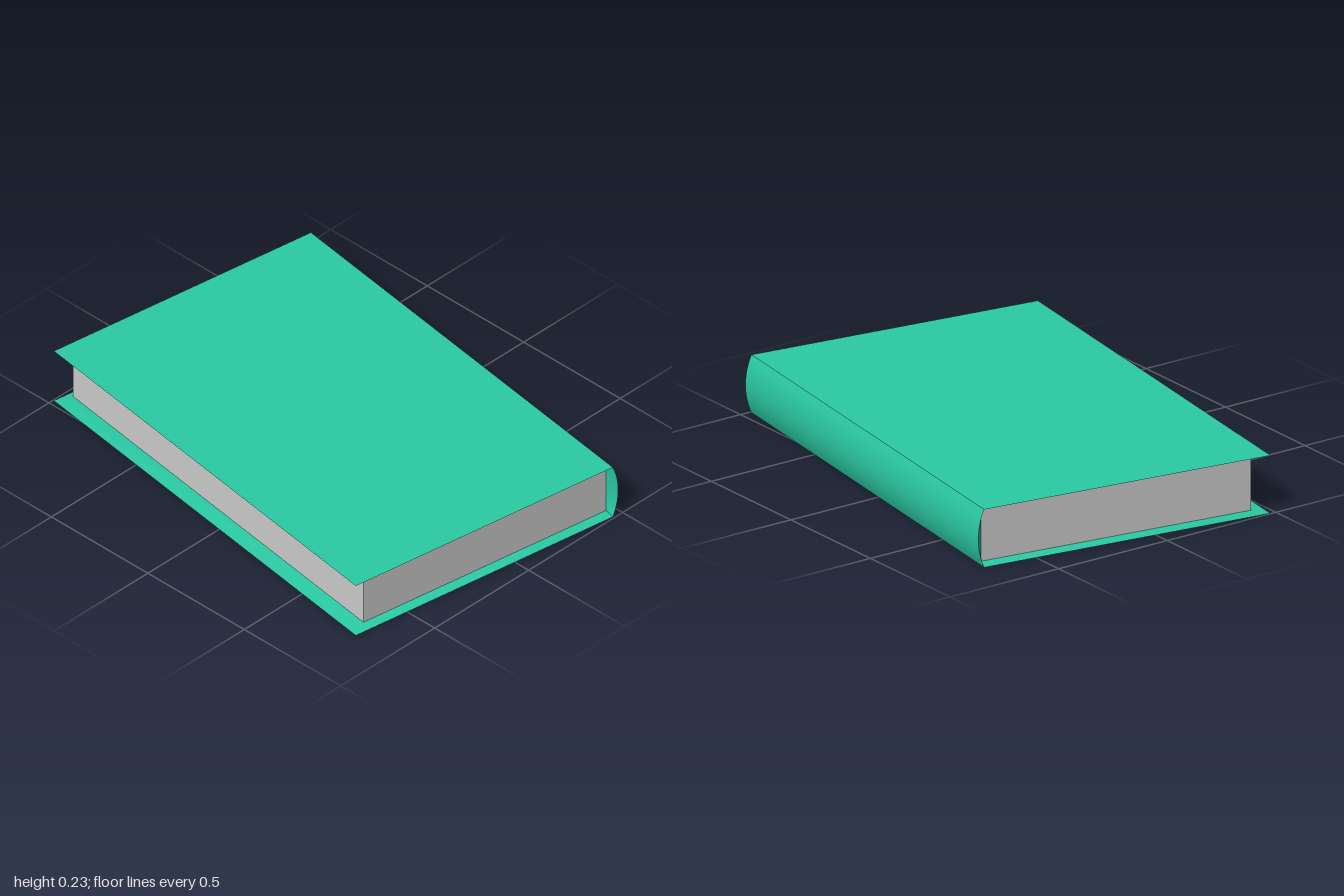
import * as THREE from 'three';
import { toCreasedNormals } from 'three/addons/utils/BufferGeometryUtils.js';

const HEIGHT = 0.23, BOARD = 0.012;
const COVER = { x: 0.919, front: 0.614, back: -0.591, bulge: 0.025 };
const PAGES = { x: 0.884, front: 0.551, back: -0.586 };
const SPINE_STEPS = 16;

// C-shaped profile as [y, z]: lower board, curved spine, upper board
function profile(front, back, low, high, bulge) {
  const points = [[low, front]];
  const half = (high - low) / 2;
  const radius = bulge ? (half * half + bulge * bulge) / (2 * bulge) : 0;
  for (let i = 0; i <= SPINE_STEPS; i++) {
    const d = half * (2 * i / SPINE_STEPS - 1);
    const out = bulge ? Math.sqrt(radius * radius - d * d) - (radius - bulge) : 0;
    points.push([low + half + d, back - out]);
  }
  points.push([high, front]);
  return points;
}

function coverGeometry() {
  const outer = profile(COVER.front, COVER.back, 0, HEIGHT, COVER.bulge);
  const inner = profile(PAGES.front, PAGES.back, BOARD, HEIGHT - BOARD, 0);
  const row = (points, x) => points.map(([y, z]) => [x, y, z]);
  const rows = [row(inner, -PAGES.x), row(outer, -COVER.x), row(outer, COVER.x), row(inner, PAGES.x)];
  const positions = [];
  const quad = (a, b, c, d) => positions.push(...a, ...b, ...c, ...a, ...c, ...d);

  // Outside skin and the slanted rims at both ends
  const last = outer.length - 1;
  for (let r = 0; r < 3; r++) {
    for (let i = 0; i < last; i++) {
      quad(rows[r][i], rows[r][i + 1], rows[r + 1][i + 1], rows[r + 1][i]);
    }
  }
  // Slanted rims along the front of both boards
  const [innerL, outerL, outerR, innerR] = rows;
  quad(outerL[0], outerR[0], innerR[0], innerL[0]);
  quad(innerL[last], innerR[last], outerR[last], outerL[last]);

  const geometry = new THREE.BufferGeometry();
  geometry.setAttribute('position', new THREE.Float32BufferAttribute(positions, 3));
  return toCreasedNormals(geometry, Math.PI / 7);
}

export function createModel() {
  const book = new THREE.Group();
  book.name = 'book';

  const cover = new THREE.Mesh(
    coverGeometry(),
    new THREE.MeshStandardMaterial({ color: 0x2acaa4, side: THREE.DoubleSide })
  );
  cover.name = 'cover';

  // Page block held between the boards
  const pages = new THREE.Mesh(
    new THREE.BoxGeometry(2 * PAGES.x, HEIGHT - 2 * BOARD, PAGES.front - PAGES.back),
    new THREE.MeshStandardMaterial({ color: 0xcccccc })
  );
  pages.name = 'pages';
  pages.position.set(0, HEIGHT / 2, (PAGES.front + PAGES.back) / 2);

  book.add(cover, pages);
  // The book lies slightly turned
  book.rotation.y = -0.142;

  const model = new THREE.Group();
  model.add(book);
  return model;
}
